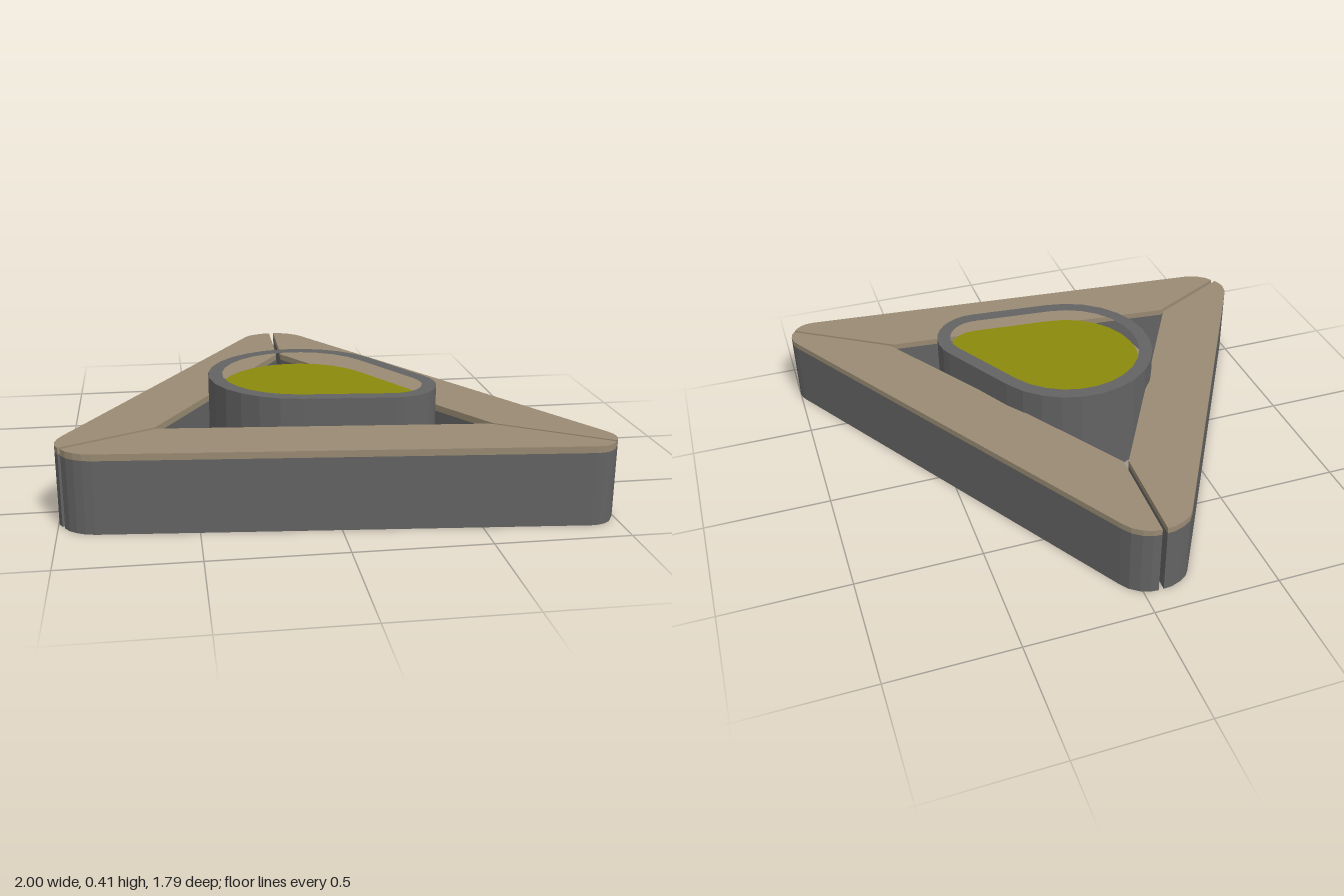
import * as THREE from 'three';

const tan = new THREE.MeshStandardMaterial({ color: 0x998b73 });
tan.name = 'tan';
const gray = new THREE.MeshStandardMaterial({ color: 0x636363 });
gray.name = 'gray';
const olive = new THREE.MeshStandardMaterial({ color: 0x8a8a0c });
olive.name = 'olive';

// Extrudes a plan outline of [x, z] points from y0 up to y1
function slab(name, outline, y0, y1, materials, hole) {
  const toPoints = (list) => list.map(([x, z]) => new THREE.Vector2(x, -z));
  const shape = new THREE.Shape(toPoints(outline));
  if (hole) shape.holes.push(new THREE.Path(toPoints(hole)));
  const geometry = new THREE.ExtrudeGeometry(shape, { depth: y1 - y0, bevelEnabled: false });
  geometry.rotateX(-Math.PI / 2);
  geometry.translate(0, y0, 0);
  const mesh = new THREE.Mesh(geometry, materials);
  mesh.name = name;
  return mesh;
}

// Plan of the pot: a large and a small circle joined by tangents, moved inward by inset
function potOutline(inset) {
  const big = { x: -0.07, z: 0.17, r: 0.36 - inset };
  const small = { x: 0.25, z: 0.38, r: 0.18 - inset };
  const dx = small.x - big.x, dz = small.z - big.z;
  const axis = Math.atan2(dz, dx);
  const spread = Math.acos((big.r - small.r) / Math.hypot(dx, dz));
  const points = [];
  const arc = (c, from, to, n) => {
    for (let i = 0; i <= n; i++) {
      const a = from + ((to - from) * i) / n;
      points.push([c.x + c.r * Math.cos(a), c.z + c.r * Math.sin(a)]);
    }
  };
  arc(small, axis - spread, axis + spread, 10);
  arc(big, axis + spread, axis + Math.PI * 2 - spread, 18);
  return points;
}

// Plans of the three mitred benches, with rounded outer corners
const benches = {
  rightBench: [
    [-0.077, -0.9], [-0.11, -0.897], [-0.15, -0.883], [-0.18, -0.865], [-0.2, -0.838],
    [-0.975, 0.515], [-0.992, 0.55], [-1, 0.59], [-0.997, 0.62], [-0.985, 0.645],
    [-0.643, 0.467], [-0.087, -0.5],
  ],
  leftBench: [
    [-0.057, -0.9], [-0.025, -0.897], [0.01, -0.883], [0.045, -0.857], [0.07, -0.822],
    [0.985, 0.743], [0.997, 0.77], [1, 0.797], [0.995, 0.822], [0.982, 0.843],
    [0.6, 0.592], [-0.067, -0.497],
  ],
  frontBench: [
    [-0.975, 0.66], [-0.957, 0.687], [-0.93, 0.708], [-0.9, 0.723], [-0.865, 0.731],
    [0.89, 0.895], [0.92, 0.893], [0.945, 0.884], [0.965, 0.868], [0.977, 0.852],
    [0.587, 0.597], [-0.637, 0.483],
  ],
};

export function createModel() {
  const model = new THREE.Group();
  model.name = 'triangularPlanterBench';

  // Gray bodies with a tan underside, each topped by a tan seat board
  for (const [name, outline] of Object.entries(benches)) {
    const bench = new THREE.Group();
    bench.name = name;
    bench.add(
      slab('benchBody', outline, 0, 0.275, [tan, gray]),
      slab('seatBoard', outline, 0.275, 0.3, tan),
    );
    model.add(bench);
  }

  // Central pot: base, hollow rim and planted surface
  const pot = new THREE.Group();
  pot.name = 'pot';
  const outer = potOutline(0), inner = potOutline(0.055);
  pot.add(
    slab('potBase', outer, 0, 0.29, [tan, gray]),
    slab('potRim', outer, 0.29, 0.405, gray, inner),
    slab('plantedSurface', inner, 0.29, 0.355, olive),
  );
  model.add(pot);
  return model;
}
